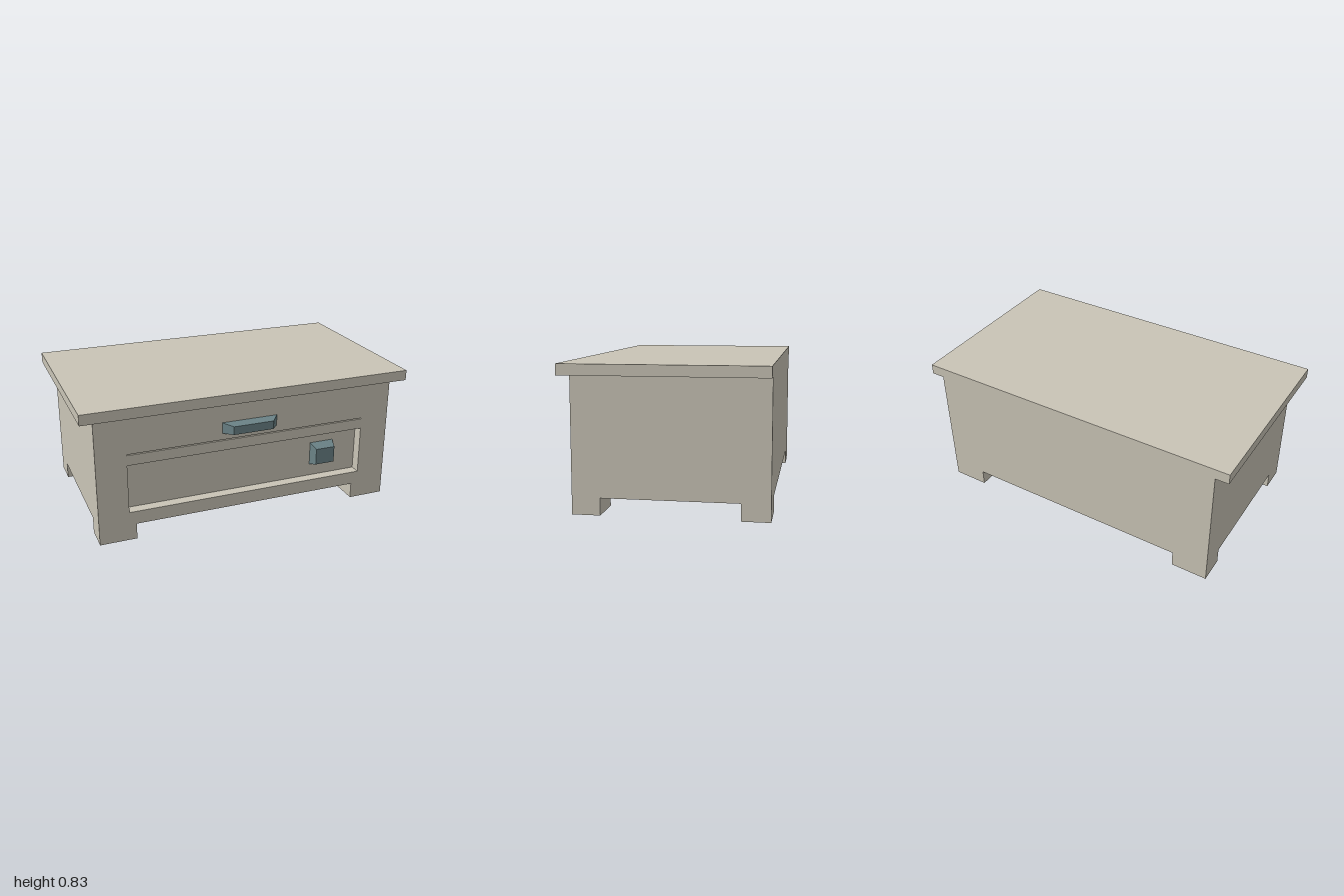
import * as THREE from 'three';

export function createModel() {
  const model = new THREE.Group();
  model.name = 'chest';
  const wood = new THREE.MeshStandardMaterial({ color: 0xc9c4b6 });
  wood.name = 'pale wood';
  const metal = new THREE.MeshStandardMaterial({ color: 0x6b8387 });
  metal.name = 'blue grey metal';

  const add = (name, geometry, material) => {
    const mesh = new THREE.Mesh(geometry, material);
    mesh.name = name;
    model.add(mesh);
    return mesh;
  };

  // Box given by its limits on each axis
  const box = (x0, x1, y0, y1, z0, z1) =>
    new THREE.BoxGeometry(x1 - x0, y1 - y0, z1 - z0)
      .translate((x0 + x1) / 2, (y0 + y1) / 2, (z0 + z1) / 2);

  // Box whose front rectangle [x0, x1, y0, y1] is smaller than its back one
  const taperedBox = (back, front, z0, z1) => {
    const g = new THREE.BoxGeometry(1, 1, 1);
    const p = g.attributes.position;
    for (let i = 0; i < p.count; i++) {
      const r = p.getZ(i) > 0 ? front : back;
      p.setXYZ(i, p.getX(i) > 0 ? r[1] : r[0], p.getY(i) > 0 ? r[3] : r[2], p.getZ(i) > 0 ? z1 : z0);
    }
    g.computeVertexNormals();
    return g;
  };

  const rectangle = (Type, x, y0, y1) => {
    const r = new Type();
    r.moveTo(-x, y0);
    r.lineTo(x, y0);
    r.lineTo(x, y1);
    r.lineTo(-x, y1);
    r.closePath();
    return r;
  };

  const W = 0.92, BACK = -0.575, FRONT = 0.513, INNER = 0.449;
  const BOTTOM = 0.097, RIM = 0.77;

  // Top board and main body
  add('topBoard', box(-1, 1, RIM, 0.832, BACK, 0.563), wood);
  add('body', box(-W, W, BOTTOM, RIM, BACK, INNER), wood);

  // Front frame with the drawer recess and the narrow slot above it
  const face = rectangle(THREE.Shape, W, BOTTOM, RIM);
  face.holes.push(rectangle(THREE.Path, 0.74, 0.177, 0.472));
  face.holes.push(rectangle(THREE.Path, 0.74, 0.534, 0.54));
  const frame = new THREE.ExtrudeGeometry(face, { depth: FRONT - INNER, bevelEnabled: false });
  add('frontFrame', frame.translate(0, 0, INNER), wood);

  // Four corner feet
  for (const side of [-1, 1]) {
    const [x0, x1] = side > 0 ? [0.7, W] : [-W, -0.7];
    const label = side > 0 ? 'Left' : 'Right';
    add('front' + label + 'Foot', box(x0, x1, 0, BOTTOM, 0.354, FRONT), wood);
    add('back' + label + 'Foot', box(x0, x1, 0, BOTTOM, BACK, -0.415), wood);
  }

  // Drawer handle and the square knob inside the recess
  add('handle', taperedBox([-0.174, 0.168, 0.58, 0.646], [-0.126, 0.12, 0.588, 0.638], FRONT, 0.575), metal);
  add('knob', taperedBox([0.43, 0.582, 0.252, 0.397], [0.443, 0.566, 0.274, 0.375], INNER, 0.51), metal);

  return model;
}
